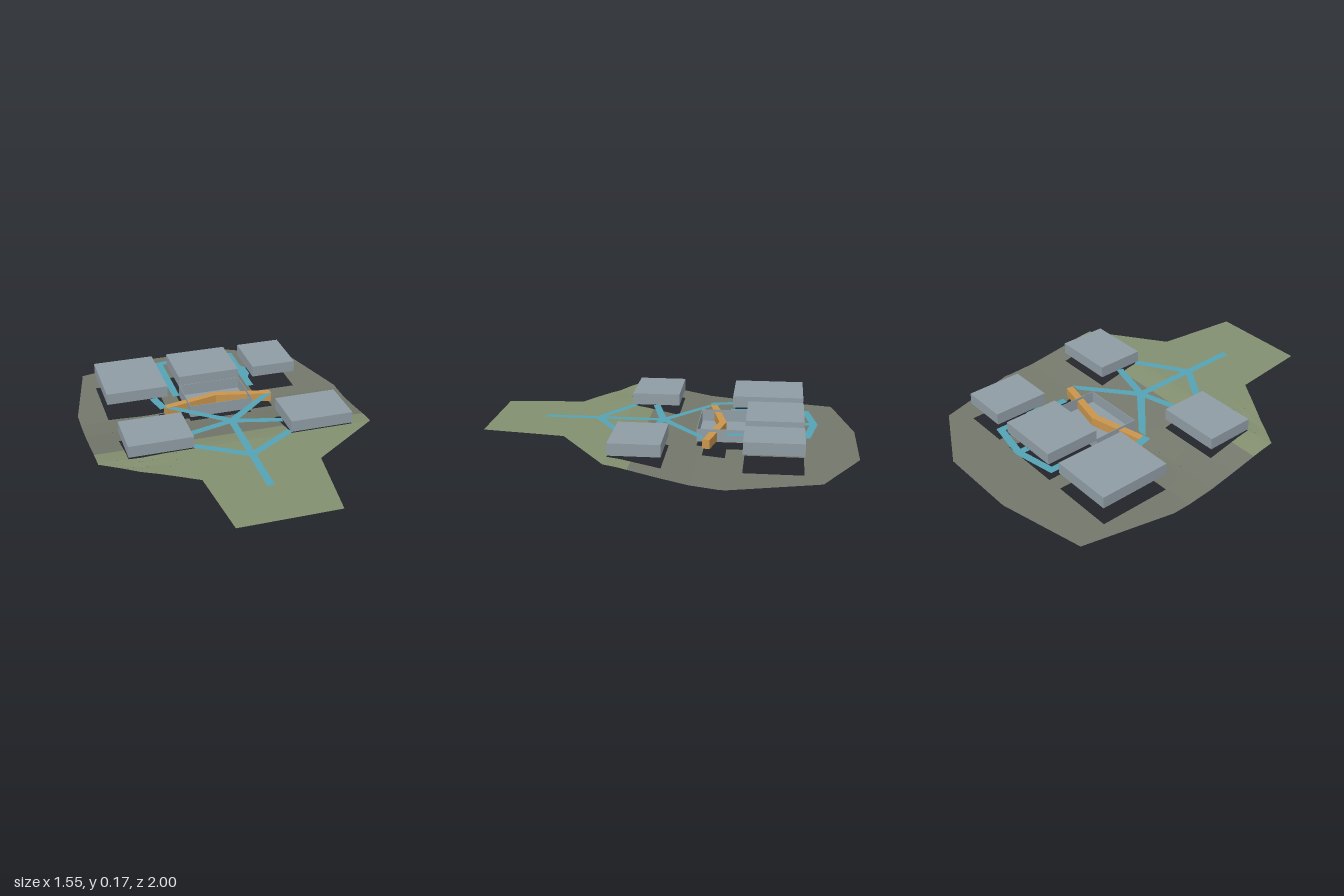
import * as THREE from 'three';
import { mergeVertices } from 'three/addons/utils/BufferGeometryUtils.js';

const mat = (name, color, side = THREE.DoubleSide) => {
  const m = new THREE.MeshStandardMaterial({ color, side });
  m.name = name;
  return m;
};

// Piecewise linear lookup through [key, value] pairs with rising keys
function lerpTable(t, k) {
  if (k <= t[0][0]) return t[0][1];
  for (let i = 1; i < t.length; i++) {
    const [a, va] = t[i - 1], [b, vb] = t[i];
    if (k <= b) return va + (vb - va) * (k - a) / (b - a);
  }
  return t[t.length - 1][1];
}

// Site outline: x of the left and right border for each z
const westEdge = [[-1, -0.19], [-0.89, -0.67], [-0.4, -0.78], [0.28, -0.78], [0.57, -0.31], [1, -0.27]];
const eastEdge = [[-1, 0.27], [-0.8, 0.64], [-0.33, 0.77], [0.27, 0.73], [0.55, 0.33], [1, 0.27]];

// Cut-outs in the ground: x0, x1, z0, z1
const cutouts = [
  [-0.62, -0.27, 0, 0.27], [0.27, 0.62, 0, 0.27],
  [-0.62, -0.27, -0.71, -0.31], [0.27, 0.53, -0.71, -0.4],
  [-0.18, 0.18, -0.71, -0.14], [-0.33, 0.32, -0.3, -0.18],
];

const profile = [[-1, 0.01], [-0.3, 0.011], [-0.15, 0.025], [0, 0.053], [0.2, 0.094], [0.27, 0.104], [1, 0.105]];
const hollow = (x, z, cx, cz, r, d) => d * Math.exp(-((x - cx) ** 2 + (z - cz) ** 2) / (r * r));
const groundY = (x, z) => Math.max(0, lerpTable(profile, z)
  - hollow(x, z, -0.4, -0.22, 0.13, 0.012) - hollow(x, z, -0.55, 0.34, 0.08, 0.012));

// Ground sheet between two z limits, made of bands that skip the cut-outs
function groundSheet(zMin, zMax) {
  const levels = new Set([zMin, zMax]);
  const add = z => { if (z > zMin && z < zMax) levels.add(z); };
  [...westEdge, ...eastEdge, ...profile].forEach(p => add(p[0]));
  cutouts.forEach(c => { add(c[2]); add(c[3]); });
  for (let i = -20; i < 20; i++) add(i / 20);
  const zs = [...levels].sort((a, b) => a - b);
  const pos = [];
  const push = (x, z) => pos.push(x, groundY(x, z), z);
  for (let i = 0; i + 1 < zs.length; i++) {
    const za = zs[i], zb = zs[i + 1], mid = (za + zb) / 2;
    const gaps = cutouts.filter(c => mid > c[2] && mid < c[3]).sort((a, b) => a[0] - b[0]);
    const spans = [];
    let left = [lerpTable(westEdge, za), lerpTable(westEdge, zb)];
    for (const g of gaps) {
      if (g[0] > left[0]) spans.push([left, [g[0], g[0]]]);
      if (g[1] > left[0]) left = [g[1], g[1]];
    }
    spans.push([left, [lerpTable(eastEdge, za), lerpTable(eastEdge, zb)]]);
    for (const [l, r] of spans) {
      const n = Math.max(1, Math.ceil((r[0] - l[0]) / 0.06));
      const at = (k, s) => l[s] + (r[s] - l[s]) * k / n;
      for (let k = 0; k < n; k++) {
        push(at(k, 0), za); push(at(k, 1), zb); push(at(k + 1, 1), zb);
        push(at(k, 0), za); push(at(k + 1, 1), zb); push(at(k + 1, 0), za);
      }
    }
  }
  const g = new THREE.BufferGeometry();
  g.setAttribute('position', new THREE.Float32BufferAttribute(pos, 3));
  const merged = mergeVertices(g, 1e-5);
  merged.computeVertexNormals();
  return merged;
}

export function createModel() {
  const model = new THREE.Group();
  const grass = mat('grass green', 0x838f70);
  const earth = mat('earth grey', 0x74786b);
  const wall = mat('building grey', 0x8f9ca4);
  const path = mat('path blue', 0x55a3b5);
  const wood = mat('bridge orange', 0xc8954c, THREE.FrontSide);

  const put = (name, geo, m, parent = model) => {
    const mesh = new THREE.Mesh(geo, m);
    mesh.name = name;
    parent.add(mesh);
    return mesh;
  };
  const block = (name, x0, x1, y0, y1, z0, z1, parent) =>
    put(name, new THREE.BoxGeometry(x1 - x0, y1 - y0, z1 - z0), wall, parent)
      .position.set((x0 + x1) / 2, (y0 + y1) / 2, (z0 + z1) / 2);

  // Ground: upper grass and lower earth
  put('grassGround', groundSheet(0.15, 1), grass);
  put('earthGround', groundSheet(-1, 0.15), earth);

  // Five raised buildings
  block('frontRightBuilding', -0.62, -0.27, 0.11, 0.175, 0, 0.27);
  block('frontLeftBuilding', 0.27, 0.62, 0.11, 0.175, 0, 0.27);
  block('backRightBuilding', -0.62, -0.27, 0.11, 0.175, -0.71, -0.31);
  block('backLeftBuilding', 0.27, 0.53, 0.11, 0.175, -0.71, -0.4);
  block('centreBuilding', -0.18, 0.18, 0.11, 0.175, -0.71, -0.4);

  // Sunken open court: floor and four thin walls
  const court = new THREE.Group();
  court.name = 'court';
  model.add(court);
  const t = 0.003;
  block('courtFloor', -0.18, 0.18, 0.05, 0.05 + t, -0.4, -0.14, court);
  for (const s of [-1, 1]) block('courtSideWall', s * 0.179 - t / 2, s * 0.179 + t / 2, 0.05, 0.12, -0.4, -0.14, court);
  block('courtBackWall', -0.18, 0.18, 0.05, 0.12, -0.4, -0.4 + t, court);
  block('courtFrontWall', -0.18, 0.18, 0.05, 0.12, -0.14 - t, -0.14, court);

  // Flat plate from [x, z] corners
  const plate = (name, pts, y = 0.109) => {
    const shape = new THREE.Shape(pts.map(([x, z]) => new THREE.Vector2(x, -z)));
    put(name, new THREE.ShapeGeometry(shape).rotateX(-Math.PI / 2), path).position.y = y;
  };
  // Straight path of width w
  const walk = (name, x0, z0, x1, z1, w = 0.04) => {
    const l = Math.hypot(x1 - x0, z1 - z0);
    const nx = -(z1 - z0) / l * w / 2, nz = (x1 - x0) / l * w / 2;
    plate(name, [[x0 + nx, z0 + nz], [x1 + nx, z1 + nz], [x1 - nx, z1 - nz], [x0 - nx, z0 - nz]]);
  };
  walk('mainPath', 0, 0.72, 0, 0.04);
  walk('rearStub', 0, -0.78, 0, -0.71);
  walk('rampPath', -0.355, -0.31, -0.325, -0.18, 0.045);
  for (const s of [-1, 1]) {
    walk('frontBranch', 0, 0.42, s * 0.27, 0.25);
    walk('middleBranch', 0, 0.06, s * 0.27, 0.13);
    plate('bridgeBranch', [[0, 0.03], [s * 0.26, -0.18], [s * 0.315, -0.18], [s * 0.02, 0.07], [0, 0.08]]);
    walk('sidePath', s * 0.223, -0.3, s * 0.223, -0.735);
    walk('rearPath', s * 0.24, -0.72, 0, -0.765);
    plate('sideLanding', [[s * 0.24, -0.57], [s * 0.265, -0.53], [s * 0.265, -0.45], [s * 0.24, -0.4]]);
  }

  // Bridge bent at its middle
  const bend = [[-0.31, -0.18], [0, -0.25], [0.31, -0.18], [0.315, -0.22], [0, -0.29], [-0.315, -0.22]];
  const bridge = new THREE.ExtrudeGeometry(
    new THREE.Shape(bend.map(([x, z]) => new THREE.Vector2(x, -z))), { depth: 0.05, bevelEnabled: false });
  put('bridge', bridge.rotateX(-Math.PI / 2), wood).position.y = 0.056;

  return model;
}
